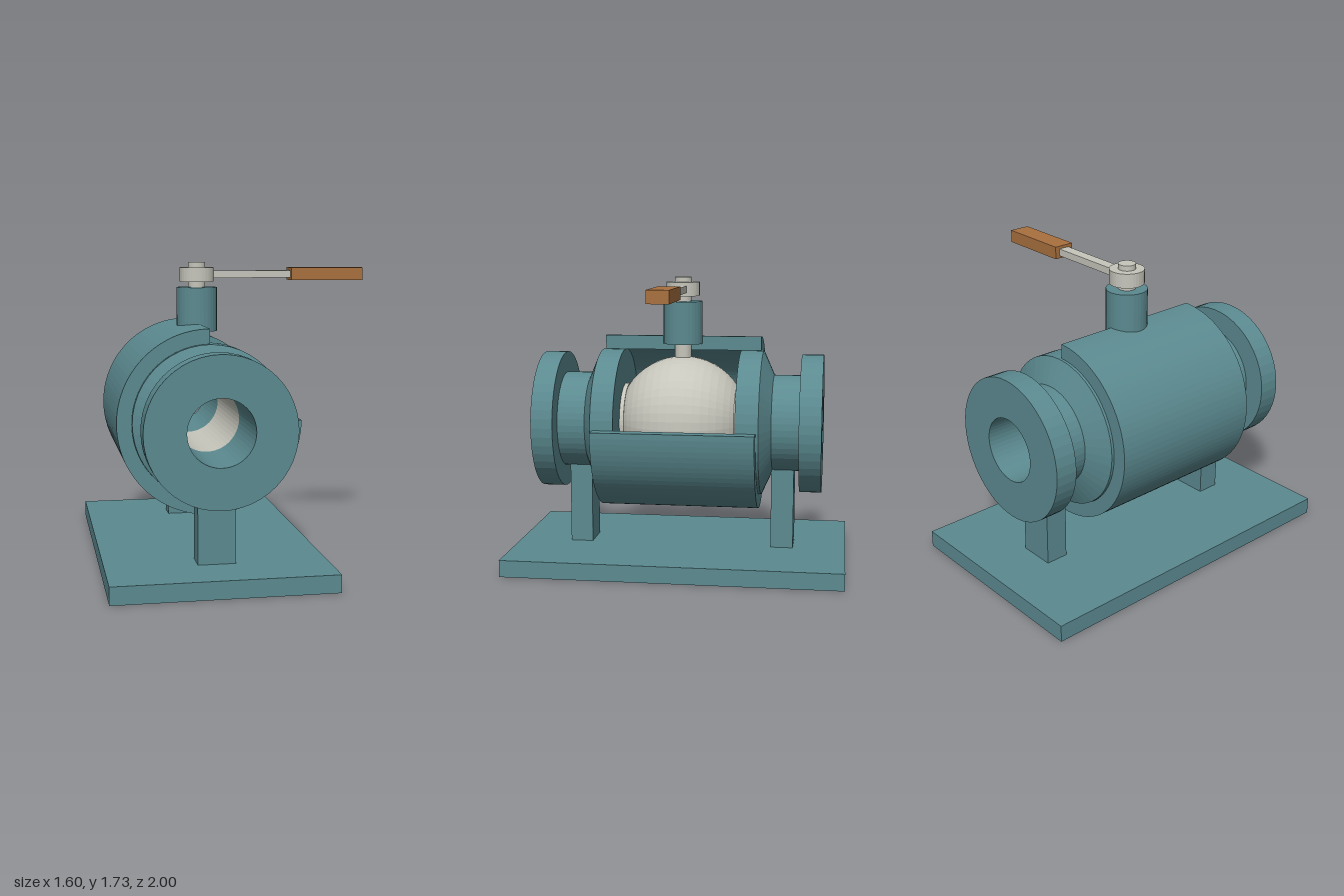
import * as THREE from 'three';

const AX = -0.187, AY = 0.85; // bore axis position
const SEG = 48;

const material = (color) => new THREE.MeshStandardMaterial({ color, flatShading: true });

export function createModel() {
  const group = new THREE.Group();
  group.name = 'ballValve';
  const teal = material(0x5b8a90), steel = material(0xc6c6bc), wood = material(0xa9713f);

  const add = (name, geometry, mat, x = 0, y = 0, z = 0) => {
    const mesh = new THREE.Mesh(geometry, mat);
    mesh.name = name;
    mesh.position.set(x, y, z);
    group.add(mesh);
    return mesh;
  };
  // box given by its minimum and maximum corners
  const box = (name, mat, a, b) => add(name,
    new THREE.BoxGeometry(b[0] - a[0], b[1] - a[1], b[2] - a[2]), mat,
    (a[0] + b[0]) / 2, (a[1] + b[1]) / 2, (a[2] + b[2]) / 2);
  // upright cylinder on the stem axis
  const post = (name, mat, r, y0, y1) =>
    add(name, new THREE.CylinderGeometry(r, r, y1 - y0, 32), mat, AX, (y0 + y1) / 2, 0);
  // closed [radius, z] profile turned about the bore axis
  const turned = (name, mat, profile) => {
    const points = [...profile, profile[0]].map(([r, z]) => new THREE.Vector2(r, z));
    return add(name, new THREE.LatheGeometry(points, SEG).rotateX(Math.PI / 2), mat, AX, AY, 0);
  };

  // Stand
  box('basePlate', teal, [-0.8, 0, -1], [0.43, 0.1, 1]);

  for (const [end, turn] of [['front', 0], ['back', Math.PI]]) {
    // Flanged end fitting: body ring, cone, neck and flange
    turned(end + 'EndFitting', teal, [
      [0.185, 0.355], [0.435, 0.355], [0.435, 0.49], [0.29, 0.555], [0.29, 0.72],
      [0.415, 0.72], [0.415, 0.85], [0.185, 0.85],
    ]).rotation.y = turn;
    // Seat ring against the ball
    turned(end + 'Seat', steel, [
      [0.185, 0.33], [0.225, 0.33], [0.225, 0.356], [0.185, 0.356],
    ]).rotation.y = turn;
    const s = turn ? -1 : 1;
    add(end + 'Leg', new THREE.BoxGeometry(0.21, 0.51, 0.135), teal, AX, 0.345, s * 0.617);
  }

  // Ball with a straight bore
  const R = 0.397, zEnd = 0.335, limit = Math.asin(zEnd / R);
  const ballProfile = [[0.185, -zEnd]];
  for (let i = 0; i <= 16; i++) {
    const a = limit * (i / 8 - 1);
    ballProfile.push([R * Math.cos(a), R * Math.sin(a)]);
  }
  ballProfile.push([0.185, zEnd]);
  turned('ball', steel, ballProfile);

  // Body shell with one quarter cut away
  const shape = new THREE.Shape();
  shape.absarc(0, 0, 0.52, Math.PI / 2, Math.PI * 2, false);
  shape.absarc(0, 0, 0.436, Math.PI * 2, Math.PI / 2, true);
  const shell = new THREE.ExtrudeGeometry(shape, { depth: 0.95, bevelEnabled: false, curveSegments: 36 });
  add('cutawayShell', shell, teal, AX, AY, -0.475);

  // Stem, bonnet and lever
  post('stem', steel, 0.05, 1.2, 1.725);
  post('bonnet', teal, 0.118, 1.325, 1.58);
  post('leverHub', steel, 0.1, 1.612, 1.695);
  box('leverArm', steel, [AX, 1.633, -0.033], [0.4, 1.675, 0.033]);
  box('leverGrip', wood, [0.367, 1.618, -0.062], [0.8, 1.692, 0.062]);

  return group;
}
